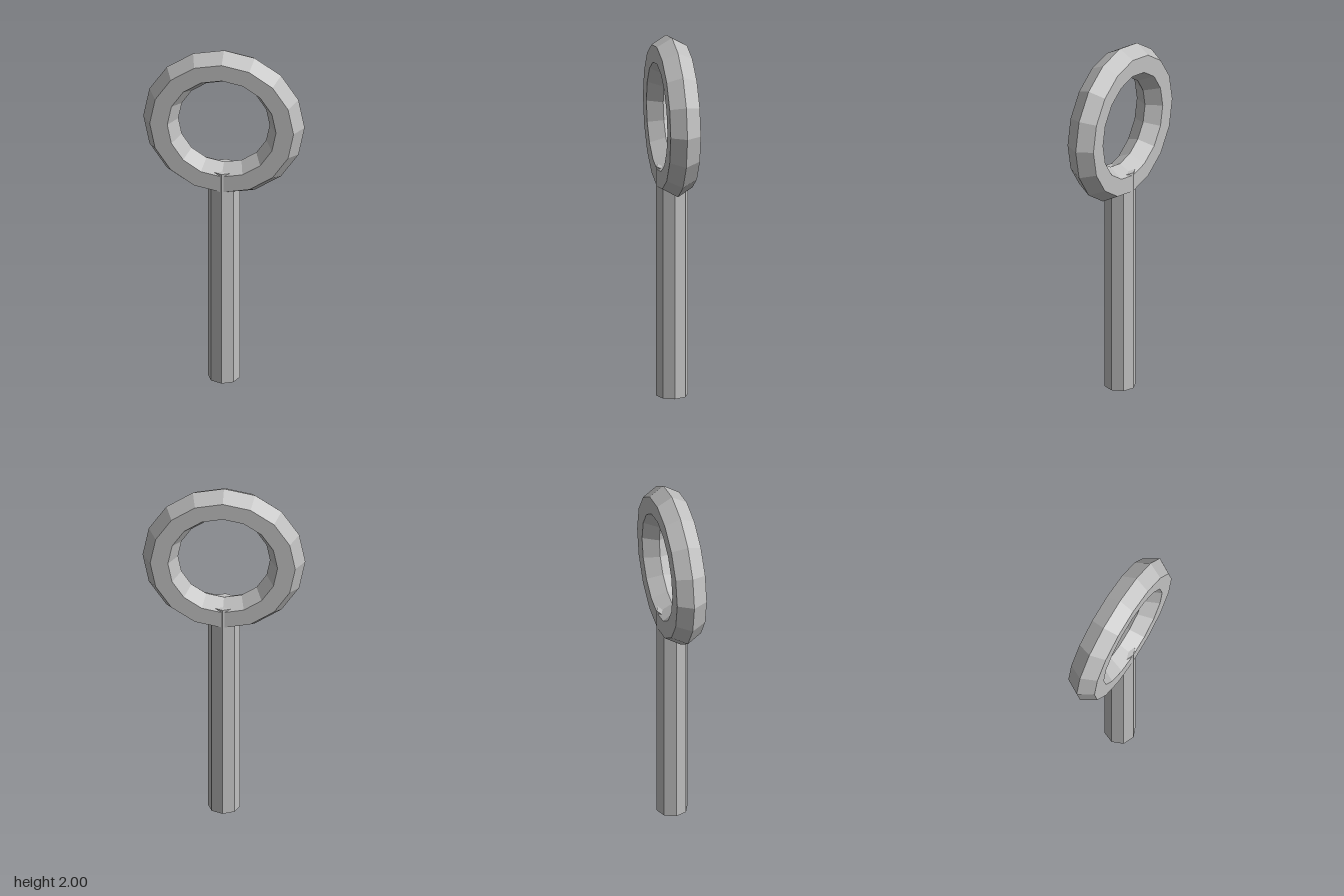
import * as THREE from 'three';

export function createModel() {
  const model = new THREE.Group();
  model.name = 'eyeBolt';

  const steel = new THREE.MeshStandardMaterial({ color: 0xc0c0c0, flatShading: true });
  steel.name = 'grey steel';

  // Ring: hexagonal section swept around sixteen steps
  const outerRadius = 0.437, tubeRadius = 0.095;
  const ring = new THREE.Mesh(
    new THREE.TorusGeometry(outerRadius - tubeRadius, tubeRadius, 6, 16), steel);
  ring.name = 'ring';
  ring.position.y = 2 - outerRadius;
  model.add(ring);

  // Shank: eight-sided rod that ends inside the ring
  const shankHeight = 1.285;
  const shank = new THREE.Mesh(
    new THREE.CylinderGeometry(0.086, 0.086, shankHeight, 8), steel);
  shank.name = 'shank';
  shank.position.y = shankHeight / 2;
  model.add(shank);

  return model;
}
